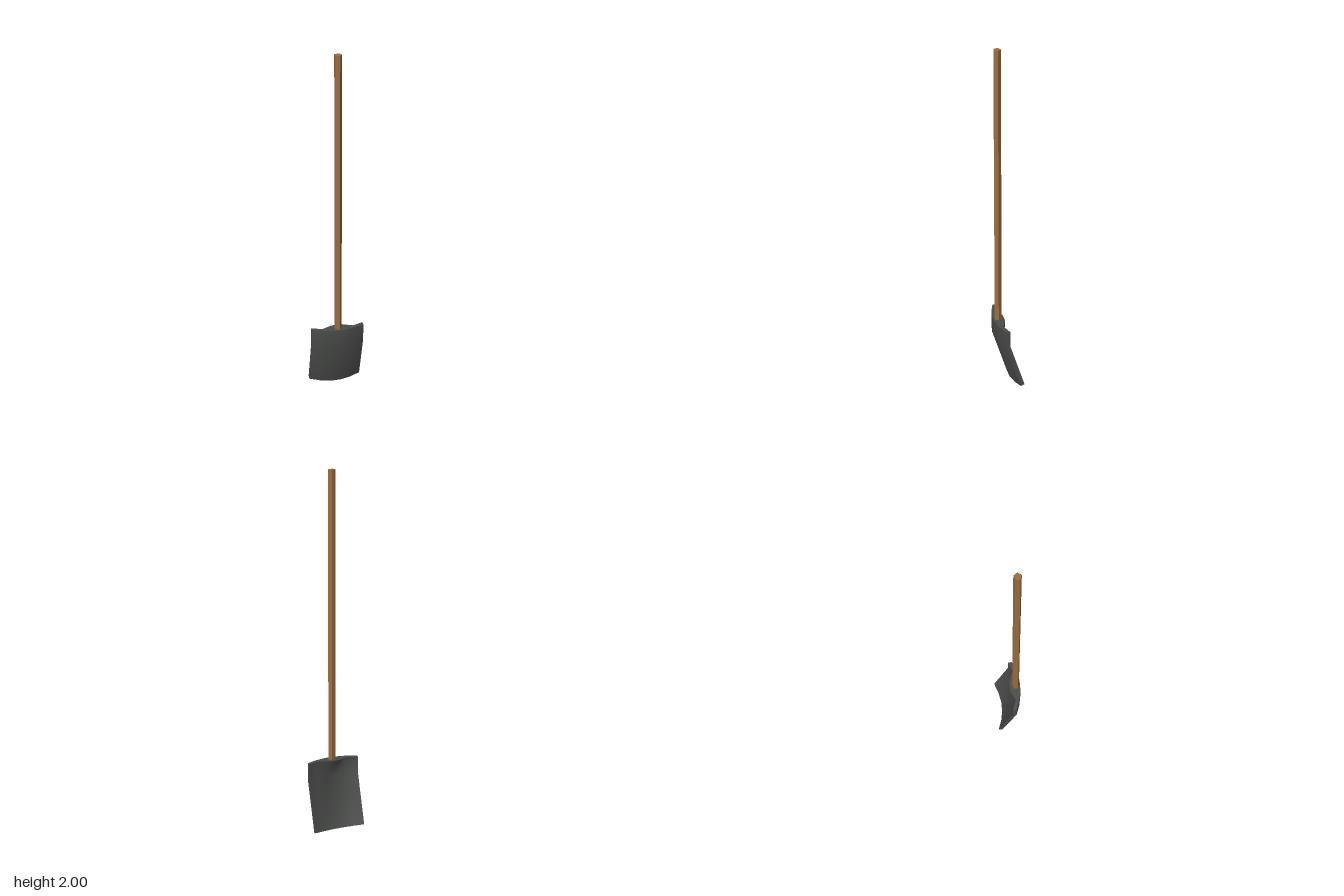
import * as THREE from 'three';
import { toCreasedNormals } from 'three/addons/utils/BufferGeometryUtils.js';

const WIDTH = 0.296;

// Curved sheet: upright collar, a bend, then a blade sloping backwards.
function bladeGeometry() {
  const geo = new THREE.BoxGeometry(WIDTH, 2, 2, 5, 2, 1);
  const p = geo.attributes.position;
  const sweep = [0, 0.012, 0.034]; // backward curve per column, middle to edge
  for (let i = 0; i < p.count; i++) {
    const x = p.getX(i);
    const column = Math.round((Math.abs(x) / WIDTH) * 5 - 0.5);
    const row = Math.round(p.getY(i)); // 1 top, 0 bend, -1 tip
    const depth = sweep[column] + (p.getZ(i) < 0 ? 0.023 : 0);
    let y, z;
    if (row === 1) {
      y = 0.393;
      z = 0.07 - depth;
      // socket swelling behind the handle
      if (column === 0 && p.getZ(i) < 0) z -= 0.038;
    } else if (row === 0) {
      y = 0.29 + depth * 0.15;
      z = 0.07 - depth;
    } else {
      y = depth * 0.31;
      z = -0.018 - depth * 0.96;
    }
    p.setXYZ(i, x, y, z);
  }
  return toCreasedNormals(geo, 0.95);
}

export function createModel() {
  const group = new THREE.Group();
  group.name = 'shovel';

  // Five-sided handle with one corner pointing to +x
  const bottom = 0.36, top = 2;
  const handle = new THREE.Mesh(
    new THREE.CylinderGeometry(0.021, 0.021, top - bottom, 5, 1, false, Math.PI / 2),
    new THREE.MeshStandardMaterial({ color: 0x9c6e40, flatShading: true })
  );
  handle.name = 'handle';
  handle.position.set(-0.001, (top + bottom) / 2, 0.044);

  const blade = new THREE.Mesh(
    bladeGeometry(),
    new THREE.MeshStandardMaterial({ color: 0x4b4d4b })
  );
  blade.name = 'blade';

  group.add(handle, blade);
  return group;
}
